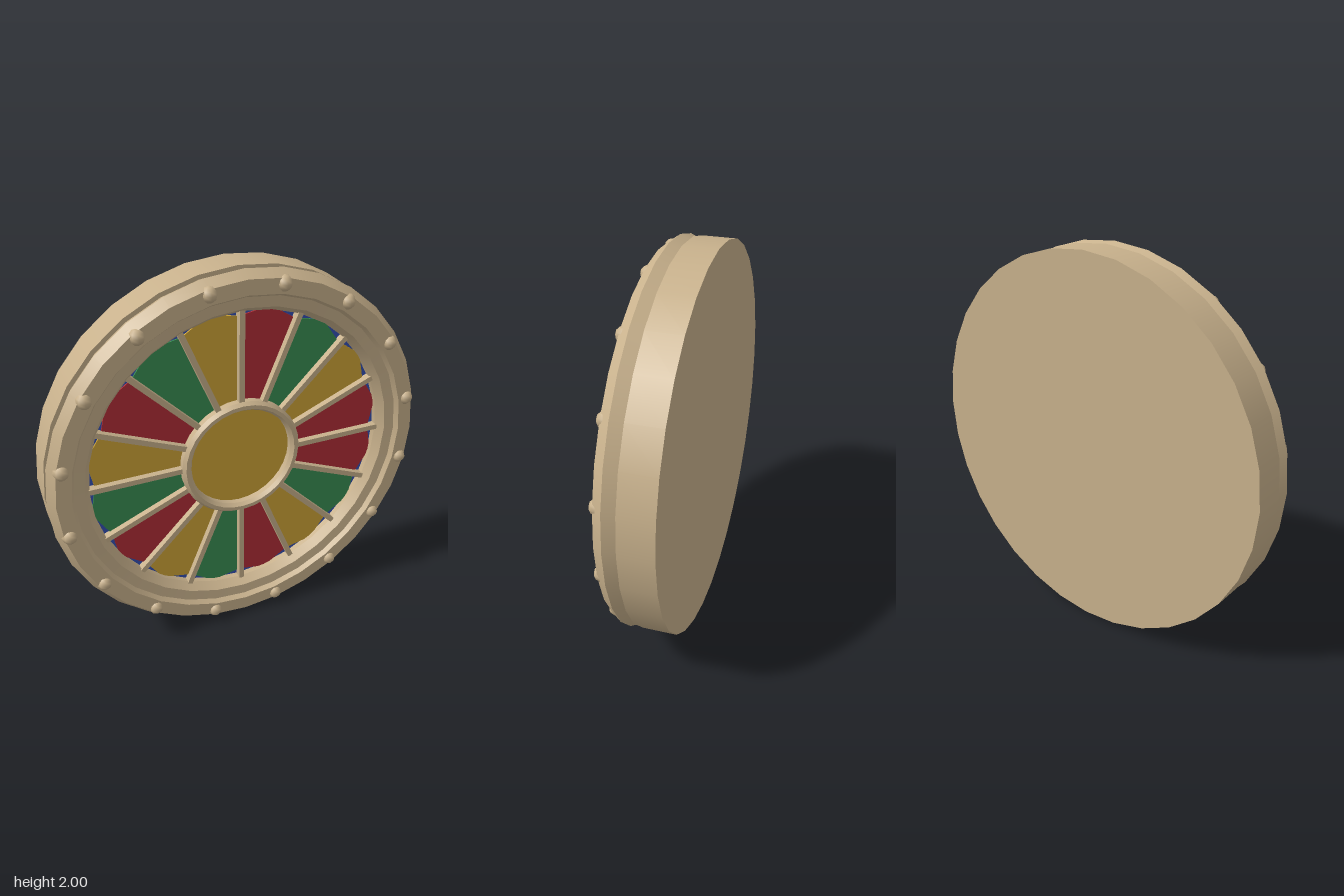
import * as THREE from 'three';
import { mergeGeometries } from 'three/addons/utils/BufferGeometryUtils.js';

const mat = (name, color) => {
  const m = new THREE.MeshStandardMaterial({ color });
  m.name = name;
  return m;
};

// Ring turned about the z axis from [radius, z] points, with crisp profile edges
function turnedRing(profile, sides) {
  const bands = [];
  for (let i = 0; i < profile.length - 1; i++) {
    const pair = [profile[i], profile[i + 1]].map(([r, z]) => new THREE.Vector2(r, z));
    bands.push(new THREE.LatheGeometry(pair, sides));
  }
  return mergeGeometries(bands).rotateX(Math.PI / 2);
}

export function createModel() {
  const tan = mat('tan frame', 0xc8b18c);
  const red = mat('red glass', 0xb22c36);
  const gold = mat('gold glass', 0xcfa436);
  const green = mat('green glass', 0x388e52);
  const blue = mat('blue glass', 0x3350b4);

  const model = new THREE.Group();
  model.name = 'roundWindow';
  const wheel = new THREE.Group();
  wheel.name = 'wheel';
  wheel.position.y = 1;
  model.add(wheel);

  const add = (name, geometry, material) => {
    const mesh = new THREE.Mesh(geometry, material);
    mesh.name = name;
    wheel.add(mesh);
    return mesh;
  };
  const disc = (name, r, z0, z1, sides, material) => {
    const g = new THREE.CylinderGeometry(r, r, z1 - z0, sides).rotateX(Math.PI / 2);
    add(name, g, material).position.z = (z0 + z1) / 2;
  };

  // Solid back and the blue pane lying on it
  disc('backDisc', 0.995, -0.155, 0.017, 32, tan);
  disc('bluePane', 0.805, 0.017, 0.024, 32, blue);

  // Bevelled outer frame with a stepped inner lip
  add('outerFrame', turnedRing([
    [0.86, 0.01], [0.972, 0.015], [1.0, 0.08], [0.965, 0.13], [0.89, 0.13],
    [0.875, 0.105], [0.82, 0.1], [0.79, 0.055], [0.79, 0.015],
  ], 32), tan);

  // Coloured panes, anticlockwise from the +x side
  const order = [red, gold, green, red, gold, green, red, gold,
    green, red, gold, green, red, gold, green, red];
  const step = Math.PI / 8;
  const pane = new THREE.Shape();
  [[0.28, 0], [0.757, 0], [0.792, 0.42], [0.787, 0.62], [0.757, 1], [0.28, 1]].forEach(([r, t], i) => {
    const x = r * Math.cos(t * step), y = r * Math.sin(t * step);
    if (i) pane.lineTo(x, y); else pane.moveTo(x, y);
  });
  const paneGeometry = new THREE.ExtrudeGeometry(pane, { depth: 0.008, bevelEnabled: false });
  const spokeGeometry = new THREE.BoxGeometry(0.5, 0.028, 0.045);
  const studGeometry = new THREE.SphereGeometry(0.04, 8, 6);

  order.forEach((material, i) => {
    const a = i * step;
    const p = add('pane', paneGeometry, material);
    p.position.z = 0.024;
    p.rotation.z = a;

    // Spoke between neighbouring panes
    const s = add('spoke', spokeGeometry, tan);
    s.position.set(0.55 * Math.cos(a), 0.55 * Math.sin(a), 0.0425);
    s.rotation.z = a;

    // Stud on the frame, halfway between spokes
    const b = a + step / 2;
    add('stud', studGeometry, tan).position.set(0.937 * Math.cos(b), 0.937 * Math.sin(b), 0.115);
  });

  // Hub: gold centre inside a bevelled ring
  disc('hubPane', 0.285, 0.024, 0.035, 32, gold);
  add('hubRing', turnedRing([
    [0.322, 0.017], [0.322, 0.065], [0.308, 0.085], [0.288, 0.085], [0.274, 0.065], [0.274, 0.025],
  ], 32), tan);

  return model;
}
